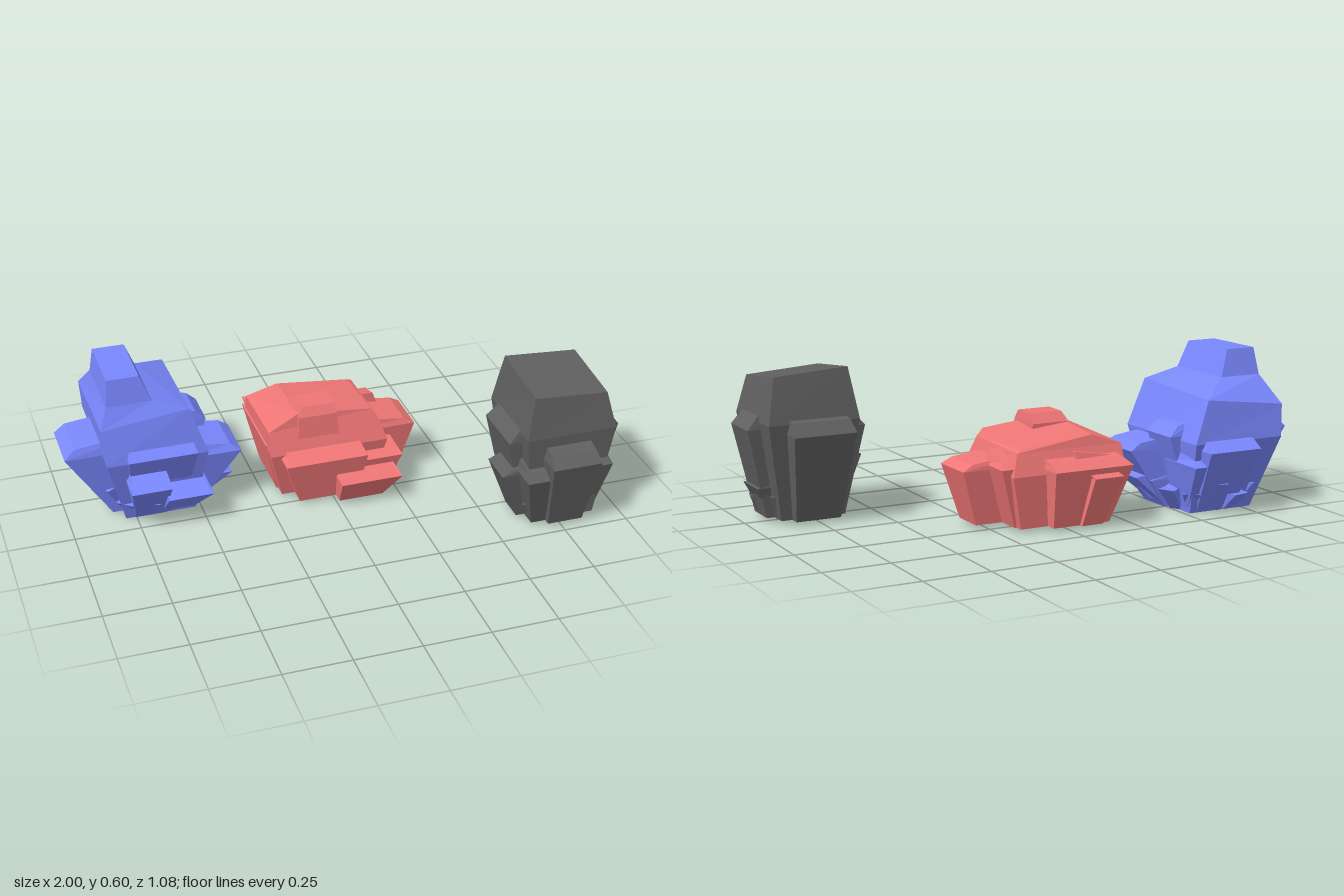
import * as THREE from 'three';

// Four-sided crystal lofted through rings [y, centreX, centreZ, width, depth, riseX, riseZ];
// riseX / riseZ tilt a ring upward toward +x / +z.
function crystalGeometry(rings) {
  const pts = rings.map(([y, cx, cz, w, d, rx = 0, rz = 0]) =>
    [[-1, 1], [1, 1], [1, -1], [-1, -1]].map(([sx, sz]) =>
      [cx + sx * w / 2, y + (sx * rx + sz * rz) / 2, cz + sz * d / 2]));
  const pos = [];
  const quad = (a, b, c, d) => pos.push(...a, ...b, ...c, ...a, ...c, ...d);
  for (let r = 0; r + 1 < pts.length; r++) {
    for (let i = 0; i < 4; i++) {
      const j = (i + 1) % 4;
      quad(pts[r][i], pts[r][j], pts[r + 1][j], pts[r + 1][i]);
    }
  }
  quad(...pts[pts.length - 1]);
  quad(...[...pts[0]].reverse());
  const g = new THREE.BufferGeometry();
  g.setAttribute('position', new THREE.Float32BufferAttribute(pos, 3));
  g.computeVertexNormals();
  return g;
}

// Spike leaning out along +z: narrow foot, wide shoulder, sloping tip
function spikeGeometry(offset, width, reach, height, footRatio) {
  const inner = 0.05;
  const ring = (y, spread, outer, rise) =>
    [y, offset * spread, (inner + outer) / 2, width * spread, outer - inner, 0, rise];
  return crystalGeometry([
    ring(0, 0.72, reach * footRatio, 0),
    ring(height * 0.82, 1, reach, 0),
    ring(height * 0.97, 0.92, reach - 0.04, -0.03),
  ]);
}

// core: rings; spikes: [quarter turns from the front, sideways offset, width, reach, height]
function cluster({ name, color, position, footRatio, core, spikes }) {
  const group = new THREE.Group();
  group.name = name;
  group.position.set(...position);
  const material = new THREE.MeshStandardMaterial({ color, flatShading: true });
  const add = (part, geometry, turn = 0) => {
    const mesh = new THREE.Mesh(geometry, material);
    mesh.name = part;
    mesh.rotation.y = turn * Math.PI / 2;
    group.add(mesh);
  };
  add('core', crystalGeometry(core));
  for (const [turn, ...size] of spikes) add('spike', spikeGeometry(...size, footRatio), turn);
  return { group, add };
}

// Ring of small shards around a cluster's foot
function addFootShards({ add }, count, reach, footRatio) {
  for (let i = 0; i < count; i++) {
    const height = 0.11 + 0.03 * Math.sin(i * 2.4);
    add('footShard', spikeGeometry(0, 0.07, reach, height, footRatio), (i + 0.5) * 4 / count);
  }
}

export function createModel() {
  const model = new THREE.Group();
  model.name = 'crystalClusters';

  // Tall cluster with a stepped top and wide side spikes
  const blue = cluster({
    name: 'blueCluster', color: 0x7a88ff, position: [-0.655, 0, -0.235], footRatio: 0.5,
    core: [
      [0, 0, 0, 0.27, 0.31],
      [0.28, -0.015, -0.01, 0.38, 0.48],
      [0.43, -0.05, -0.015, 0.33, 0.44, 0.04, 0.02],
      [0.5, -0.1, 0.025, 0.17, 0.3],
      [0.6, -0.115, 0.03, 0.12, 0.26],
    ],
    spikes: [
      [0, 0, 0.26, 0.255, 0.36], [0, -0.06, 0.15, 0.315, 0.24], [0, 0.09, 0.17, 0.295, 0.165],
      [1, -0.075, 0.2, 0.315, 0.28], [1, -0.065, 0.16, 0.285, 0.15], [1, 0.065, 0.16, 0.22, 0.36],
      [2, -0.035, 0.22, 0.305, 0.31], [2, -0.115, 0.14, 0.265, 0.24],
      [3, 0.025, 0.22, 0.345, 0.34],
    ],
  });
  addFootShards(blue, 14, 0.23, 0.68);

  // Low, broad cluster
  const red = cluster({
    name: 'redCluster', color: 0xf07676, position: [0.02, 0.015, -0.17], footRatio: 0.82,
    core: [
      [0, -0.025, -0.03, 0.37, 0.32],
      [0.195, -0.03, -0.02, 0.46, 0.38],
      [0.28, -0.045, -0.02, 0.43, 0.32, 0, 0.01],
      [0.315, 0.005, -0.02, 0.29, 0.3, -0.03, 0.03],
    ],
    spikes: [
      [0, -0.06, 0.32, 0.24, 0.22], [0, 0.1, 0.24, 0.295, 0.12], [0, 0.14, 0.22, 0.21, 0.17],
      [1, -0.01, 0.185, 0.335, 0.25],
      [2, 0.09, 0.32, 0.285, 0.26], [2, 0.14, 0.12, 0.305, 0.22], [2, -0.135, 0.2, 0.19, 0.27],
      [3, -0.06, 0.34, 0.265, 0.26],
    ],
  });
  red.add('capBlock', crystalGeometry([
    [0.25, -0.07, 0.085, 0.16, 0.15],
    [0.335, -0.07, 0.08, 0.15, 0.145],
    [0.37, -0.065, 0.085, 0.13, 0.095],
  ]));

  // Tall upright cluster with a single sloping block
  const gray = cluster({
    name: 'grayCluster', color: 0x606060, position: [0.765, 0.015, 0.3], footRatio: 0.68,
    core: [
      [0, 0, -0.005, 0.25, 0.27],
      [0.365, 0.01, -0.025, 0.35, 0.35],
      [0.53, 0.008, -0.02, 0.285, 0.29, -0.02, -0.03],
    ],
    spikes: [
      [0, 0, 0.19, 0.24, 0.34], [0, -0.12, 0.11, 0.2, 0.26], [0, 0.115, 0.12, 0.17, 0.27],
      [1, 0.01, 0.18, 0.23, 0.41], [1, 0.01, 0.15, 0.195, 0.14],
      [2, 0.005, 0.24, 0.27, 0.4], [2, 0, 0.15, 0.22, 0.17],
      [3, -0.025, 0.23, 0.21, 0.4], [3, 0.03, 0.14, 0.235, 0.24],
    ],
  });
  addFootShards(gray, 12, 0.185, 0.84);

  model.add(blue.group, red.group, gray.group);
  return model;
}
